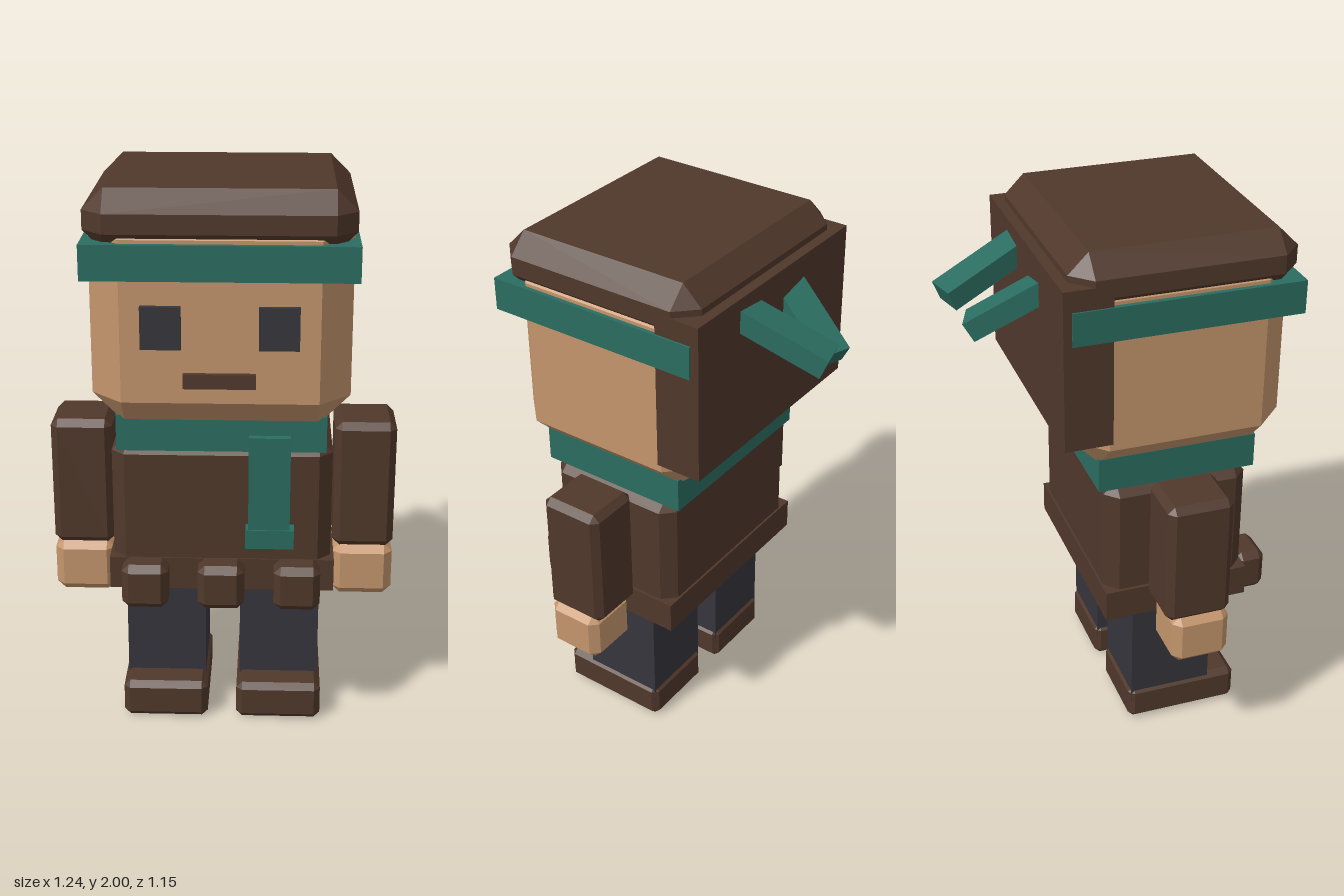
import * as THREE from 'three';
import { ConvexGeometry } from 'three/addons/geometries/ConvexGeometry.js';

const mat = (name, color) => {
  const m = new THREE.MeshStandardMaterial({ color });
  m.name = name;
  return m;
};

// Box with all edges cut at 45 degrees by c
function chamferBox(w, h, d, c) {
  const points = [];
  for (const sx of [-1, 1]) for (const sy of [-1, 1]) for (const sz of [-1, 1]) {
    const x = w / 2, y = h / 2, z = d / 2;
    points.push(
      new THREE.Vector3(sx * x, sy * (y - c), sz * (z - c)),
      new THREE.Vector3(sx * (x - c), sy * y, sz * (z - c)),
      new THREE.Vector3(sx * (x - c), sy * (y - c), sz * z));
  }
  return new ConvexGeometry(points);
}

export function createModel() {
  const model = new THREE.Group();
  model.name = 'blockFigure';
  const brown = mat('brown', 0x50382b);
  const skin = mat('skin', 0xc4956c);
  const teal = mat('teal', 0x2b6c60);
  const charcoal = mat('charcoal', 0x36353c);

  // Block given by its extents on each axis, with an optional chamfer
  function block(name, material, [x0, x1], [y0, y1], [z0, z1], c = 0) {
    const w = x1 - x0, h = y1 - y0, d = z1 - z0;
    const geometry = c ? chamferBox(w, h, d, c) : new THREE.BoxGeometry(w, h, d);
    const mesh = new THREE.Mesh(geometry, material);
    mesh.name = name;
    mesh.position.set((x0 + x1) / 2, (y0 + y1) / 2, (z0 + z1) / 2);
    model.add(mesh);
    return mesh;
  }

  // Same block on both sides of the body
  function pair(name, material, [x0, x1], ys, zs, c) {
    block('left' + name, material, [x0, x1], ys, zs, c);
    block('right' + name, material, [-x1, -x0], ys, zs, c);
  }

  // Legs and boots
  pair('Leg', charcoal, [0.063, 0.353], [0.08, 0.6], [0.005, 0.32]);
  pair('Boot', brown, [0.053, 0.363], [0, 0.143], [-0.005, 0.43], 0.022);

  // Tunic, skirt and belt pouches
  block('tunic', brown, [-0.388, 0.388], [0.55, 1.1], [-0.107, 0.43], 0.047);
  block('skirt', brown, [-0.4, 0.4], [0.54, 0.66], [-0.115, 0.435]);
  for (const x of [-0.268, 0, 0.268]) {
    block('pouch', brown, [x - 0.082, x + 0.082], [0.505, 0.67], [0.425, 0.54], 0.025);
  }

  // Arms and hands
  pair('Arm', brown, [0.4, 0.62], [0.64, 1.12], [0.04, 0.283], 0.025);
  pair('Hand', skin, [0.4, 0.62], [0.445, 0.645], [0.07, 0.285], 0.03);

  // Scarf with a hanging end
  block('scarf', teal, [-0.363, 0.363], [1.08, 1.21], [-0.13, 0.457]);
  block('scarfTail', teal, [0.095, 0.24], [0.78, 1.14], [0.44, 0.485]);
  block('scarfTailEnd', teal, [0.085, 0.255], [0.727, 0.797], [0.435, 0.491]);

  // Head and face
  block('head', skin, [-0.44, 0.44], [1.18, 1.95], [-0.225, 0.55], 0.108);
  pair('Eye', charcoal, [0.128, 0.263], [1.48, 1.625], [0.545, 0.572]);
  block('mouth', brown, [-0.123, 0.12], [1.345, 1.395], [0.545, 0.57]);

  // Hair and headband
  block('hairTop', brown, [-0.452, 0.447], [1.79, 2], [-0.242, 0.562], 0.072);
  block('hairBack', brown, [-0.452, 0.448], [1.32, 1.905], [-0.28, -0.108]);
  block('headband', teal, [-0.458, 0.456], [1.71, 1.83], [-0.25, 0.57]);

  // Headband knot ends, hung from the top of their far end
  const ribbons = [
    { name: 'leftRibbon', end: [0.08, 1.735, -0.56], pitch: -0.39, yaw: 0.25 },
    { name: 'rightRibbon', end: [-0.03, 1.665, -0.505], pitch: -0.54, yaw: -0.35 },
  ];
  for (const { name, end, pitch, yaw } of ribbons) {
    const geometry = new THREE.BoxGeometry(0.12, 0.076, 0.36);
    geometry.translate(0, -0.038, 0.18);
    const ribbon = new THREE.Mesh(geometry, teal);
    ribbon.name = name;
    ribbon.position.set(...end);
    ribbon.rotation.set(pitch, yaw, 0, 'YXZ');
    model.add(ribbon);
  }

  return model;
}
